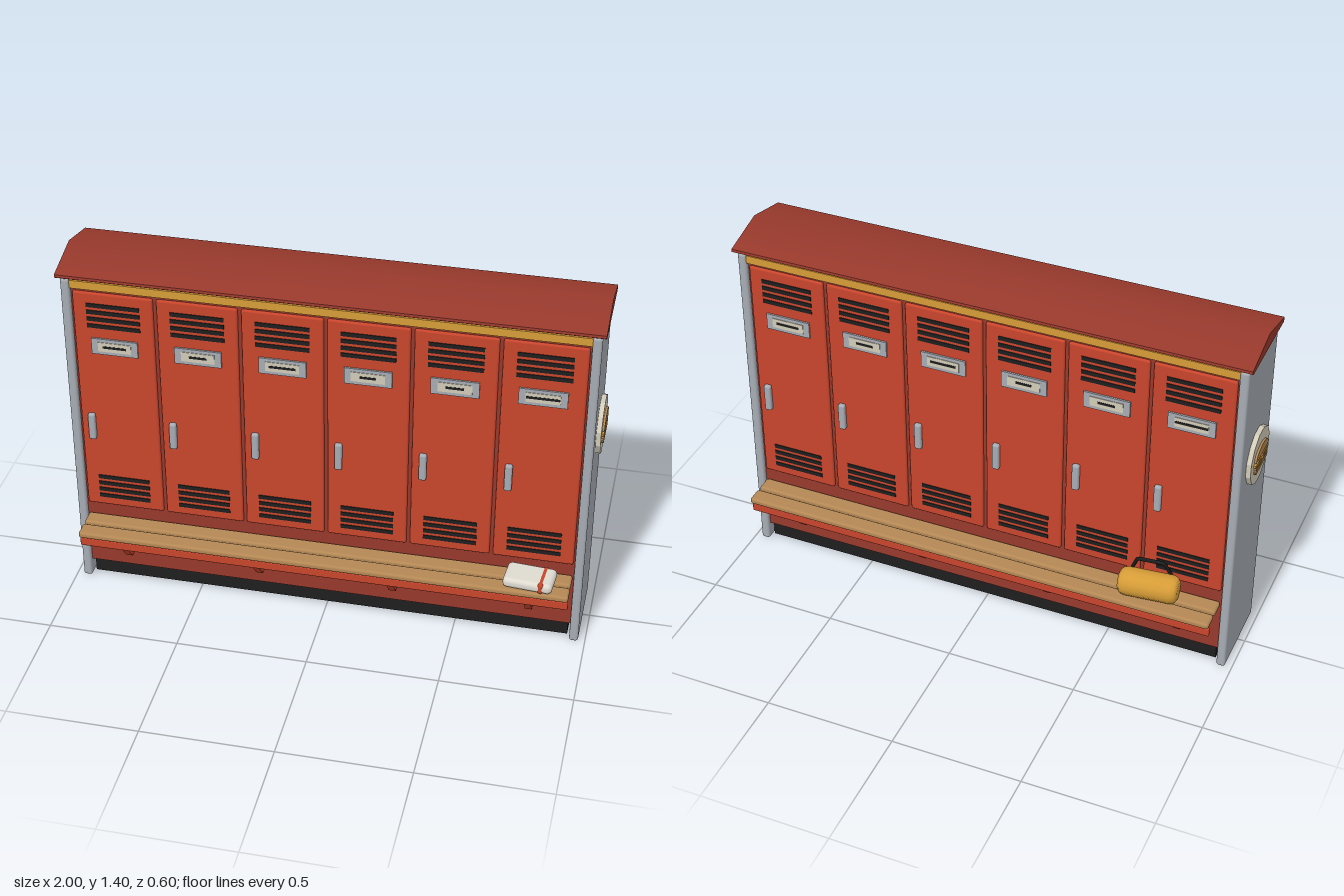
import * as THREE from 'three';
import { toCreasedNormals } from 'three/addons/utils/BufferGeometryUtils.js';
import { RoundedBoxGeometry } from 'three/addons/geometries/RoundedBoxGeometry.js';

const material = (name, color) => {
  const m = new THREE.MeshStandardMaterial({ color });
  m.name = name;
  return m;
};

export function createModel() {
  const red = material('door red', 0xc8452c);
  const darkRed = material('dark red', 0x98392c);
  const steel = material('steel grey', 0xa6abb3);
  const wood = material('wood', 0xb48855);
  const yellow = material('mustard yellow', 0xd69c37);
  const black = material('black', 0x1e1e1f);
  const cream = material('cream', 0xd2cbb8);
  const white = material('towel white', 0xdedad0);

  const add = (parent, name, geometry, mat, x = 0, y = 0, z = 0) => {
    const mesh = new THREE.Mesh(geometry, mat);
    mesh.name = name;
    mesh.position.set(x, y, z);
    parent.add(mesh);
    return mesh;
  };
  const group = (parent, name, x = 0, y = 0, z = 0) => {
    const g = new THREE.Group();
    g.name = name;
    g.position.set(x, y, z);
    parent.add(g);
    return g;
  };
  const box = (w, h, d) => new THREE.BoxGeometry(w, h, d);
  const rounded = (w, h, d, r) => new RoundedBoxGeometry(w, h, d, 2, r);
  // Extrudes a profile and centres it along the extrusion
  const extrude = (points, depth) => {
    const shape = new THREE.Shape(points.map(([x, y]) => new THREE.Vector2(x, y)));
    const g = new THREE.ExtrudeGeometry(shape, { depth, bevelEnabled: false });
    return g.translate(0, 0, -depth / 2);
  };

  const model = new THREE.Group();
  model.name = 'lockerBench';

  // Cabinet carcass
  add(model, 'plinth', box(1.86, 0.06, 0.28), black, 0, 0.04, 0);
  add(model, 'cabinetBody', box(1.89, 1.27, 0.3), darkRed, 0, 0.705, 0);

  // Low gabled roof, smooth over the ridge
  const roof = extrude([[-0.172, 1.34], [0.172, 1.34], [0.182, 1.347], [0.18, 1.357], [0, 1.4],
    [-0.18, 1.357], [-0.182, 1.347]], 1.976).rotateY(Math.PI / 2);
  add(model, 'roof', toCreasedNormals(roof, 0.6), darkRed);

  // One door with vents, label and handle
  const addDoor = (parent, x, lineWidth) => {
    const door = group(parent, 'door', x, 0, 0);
    add(door, 'doorPanel', rounded(0.3, 0.935, 0.03, 0.008), red, 0, 0.818, 0.145);
    for (const top of [1.235, 0.48]) {
      for (let i = 0; i < 4; i++) {
        add(door, 'ventSlot', box(0.2, 0.016, 0.004), black, 0, top - i * 0.0285, 0.161);
      }
    }
    add(door, 'labelFrame', box(0.175, 0.065, 0.008), steel, 0, 1.067, 0.163);
    add(door, 'labelCard', box(0.125, 0.038, 0.004), cream, 0, 1.067, 0.167);
    add(door, 'labelLine', box(lineWidth, 0.009, 0.003), black, 0, 1.067, 0.169);
    add(door, 'handle', rounded(0.028, 0.112, 0.022, 0.008), steel, -0.107, 0.714, 0.168);
  };

  // Doors, trim and bench, the same on both faces
  const bracketProfile = [[0.14, 0.278], [0.14, 0.125], [0.168, 0.125], [0.27, 0.25], [0.27, 0.278]];
  const bracketGeometry = extrude(bracketProfile, 0.026).rotateY(-Math.PI / 2);
  const lineWidths = [0.09, 0.065, 0.1, 0.06, 0.065, 0.12];
  ['frontSide', 'backSide'].forEach((name, side) => {
    const face = group(model, name);
    face.rotation.y = side * Math.PI;
    lineWidths.forEach((w, i) => addDoor(face, (i - 2.5) * 0.3135, w));
    add(face, 'topTrim', box(1.885, 0.032, 0.02), yellow, 0, 1.314, 0.152);

    const bench = group(face, 'bench');
    for (const z of [0.186, 0.265]) {
      add(bench, 'benchSlat', rounded(1.87, 0.026, 0.066, 0.01), wood, 0, 0.29, z);
    }
    add(bench, 'benchRail', rounded(1.87, 0.036, 0.014, 0.005), red, 0, 0.25, 0.274);
    for (const x of [-0.78, -0.26, 0.26, 0.78]) {
      add(bench, 'benchBracket', bracketGeometry, red, x, 0, 0).scale.x = 1;
    }
  });

  // End panels with a round burger plaque
  const bun = [];
  for (let i = 0; i <= 12; i++) {
    const a = (i / 12) * Math.PI;
    bun.push([0.069 * Math.cos(a), 0.012 + 0.042 * Math.pow(Math.sin(a), 0.8)]);
  }
  const cheese = [[-0.074, -0.006], [-0.045, -0.012], [-0.02, -0.006], [0.01, -0.014], [0.04, -0.006],
    [0.074, -0.01], [0.074, 0.002], [0.04, 0.004], [0.01, 0], [-0.02, 0.004], [-0.045, 0], [-0.074, 0.004]];
  const lowerBun = [[-0.06, -0.044], [0.06, -0.044], [0.069, -0.034], [0.069, -0.028], [-0.069, -0.028], [-0.069, -0.034]];
  const patty = [[-0.064, -0.024], [0.064, -0.024], [0.07, -0.019], [0.064, -0.014], [-0.064, -0.014], [-0.07, -0.019]];
  for (const s of [1, -1]) {
    const end = group(model, s > 0 ? 'leftEnd' : 'rightEnd');
    end.rotation.y = s * Math.PI / 2;
    add(end, 'endPanel', rounded(0.336, 1.335, 0.034, 0.01), steel, 0, 0.6675, 0.957);
    const plaque = group(end, 'plaque', 0, 0.883, 0);
    const disc = new THREE.CylinderGeometry(0.11, 0.11, 0.022, 12, 1, false, Math.PI / 12);
    add(plaque, 'plaqueDisc', toCreasedNormals(disc.rotateX(Math.PI / 2), 0.3), cream, 0, 0, 0.981);
    add(plaque, 'upperBun', extrude(bun, 0.009), wood, 0, 0, 0.9955);
    add(plaque, 'cheese', extrude(cheese, 0.009), yellow, 0, 0, 0.9955);
    add(plaque, 'patty', extrude(patty, 0.009), wood, 0, 0, 0.9955);
    add(plaque, 'lowerBun', extrude(lowerBun, 0.009), wood, 0, 0, 0.9955);
  }

  // Folded towel on the front bench
  const towel = group(model, 'towel', 0.785, 0.325, 0.235);
  towel.rotation.y = -0.08;
  add(towel, 'towelCloth', rounded(0.185, 0.042, 0.12, 0.018), white);
  add(towel, 'towelStripe', rounded(0.024, 0.045, 0.123, 0.018), red, 0.05, 0, 0);

  // Duffel bag on the back bench
  const bag = group(model, 'duffelBag', -0.682, 0.356, -0.23);
  bag.rotation.y = 0.1;
  const bagProfile = [[0, -0.112], [0.034, -0.112], [0.048, -0.103], [0.054, -0.085],
    [0.054, 0.085], [0.048, 0.103], [0.034, 0.112], [0, 0.112]].map(([r, y]) => new THREE.Vector2(r, y));
  const bagBody = new THREE.LatheGeometry(bagProfile, 14).rotateZ(Math.PI / 2);
  add(bag, 'bagBody', toCreasedNormals(bagBody, 0.7), yellow);
  const handlePath = new THREE.CurvePath();
  const corners = [[-0.075, 0.03, 0.042], [-0.05, 0.103, 0.014], [0.05, 0.103, 0.014], [0.075, 0.03, 0.042]]
    .map((p) => new THREE.Vector3(...p));
  for (let i = 0; i < 3; i++) handlePath.add(new THREE.LineCurve3(corners[i], corners[i + 1]));
  add(bag, 'bagHandle', new THREE.TubeGeometry(handlePath, 24, 0.007, 6), black);

  return model;
}
